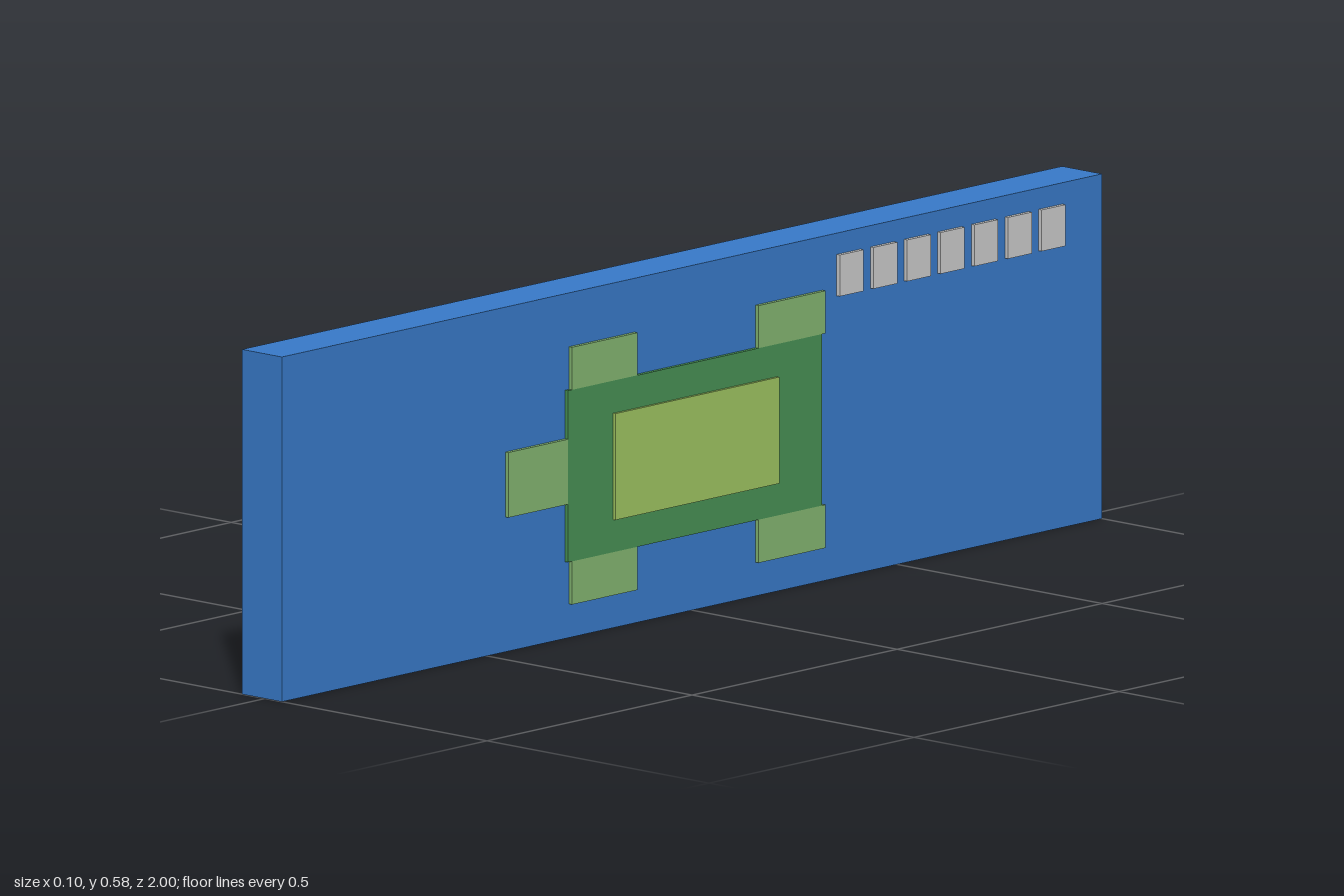
import * as THREE from 'three';

const material = (color) => new THREE.MeshStandardMaterial({ color });

export function createModel() {
  const group = new THREE.Group();
  const blue = material(0x387ac9);
  const darkGreen = material(0x489154);
  const midGreen = material(0x83b571);
  const lightGreen = material(0x9ec561);
  const grey = material(0xcccccc);

  // Box given by its extents along each axis
  const block = (name, mat, [x0, x1], [y0, y1], [z0, z1]) => {
    const mesh = new THREE.Mesh(new THREE.BoxGeometry(x1 - x0, y1 - y0, z1 - z0), mat);
    mesh.position.set((x0 + x1) / 2, (y0 + y1) / 2, (z0 + z1) / 2);
    mesh.name = name;
    group.add(mesh);
  };

  const face = 0.038; // picture side of the panel
  const relief = [face, 0.045];

  block('panel', blue, [-0.052, face], [0, 0.583], [-1, 1]);

  // Turtle relief: shell, raised centre, head and four legs
  block('shell', darkGreen, relief, [0.13, 0.42], [-0.31, 0.31]);
  block('shellCentre', lightGreen, [0.045, 0.05], [0.185, 0.365], [-0.2, 0.2]);
  block('head', midGreen, relief, [0.228, 0.338], [0.31, 0.455]);
  for (const [end, z] of [['front', [0.14, 0.3]], ['rear', [-0.318, -0.155]]]) {
    block(`${end}UpperLeg`, midGreen, relief, [0.42, 0.492], z);
    block(`${end}LowerLeg`, midGreen, relief, [0.057, 0.13], z);
  }

  // Row of small tiles near the top edge
  for (let i = 0; i < 7; i++) {
    const z = -0.353 - i * 0.082;
    block(`tile${i + 1}`, grey, relief, [0.477, 0.547], [z - 0.058, z]);
  }

  return group;
}
